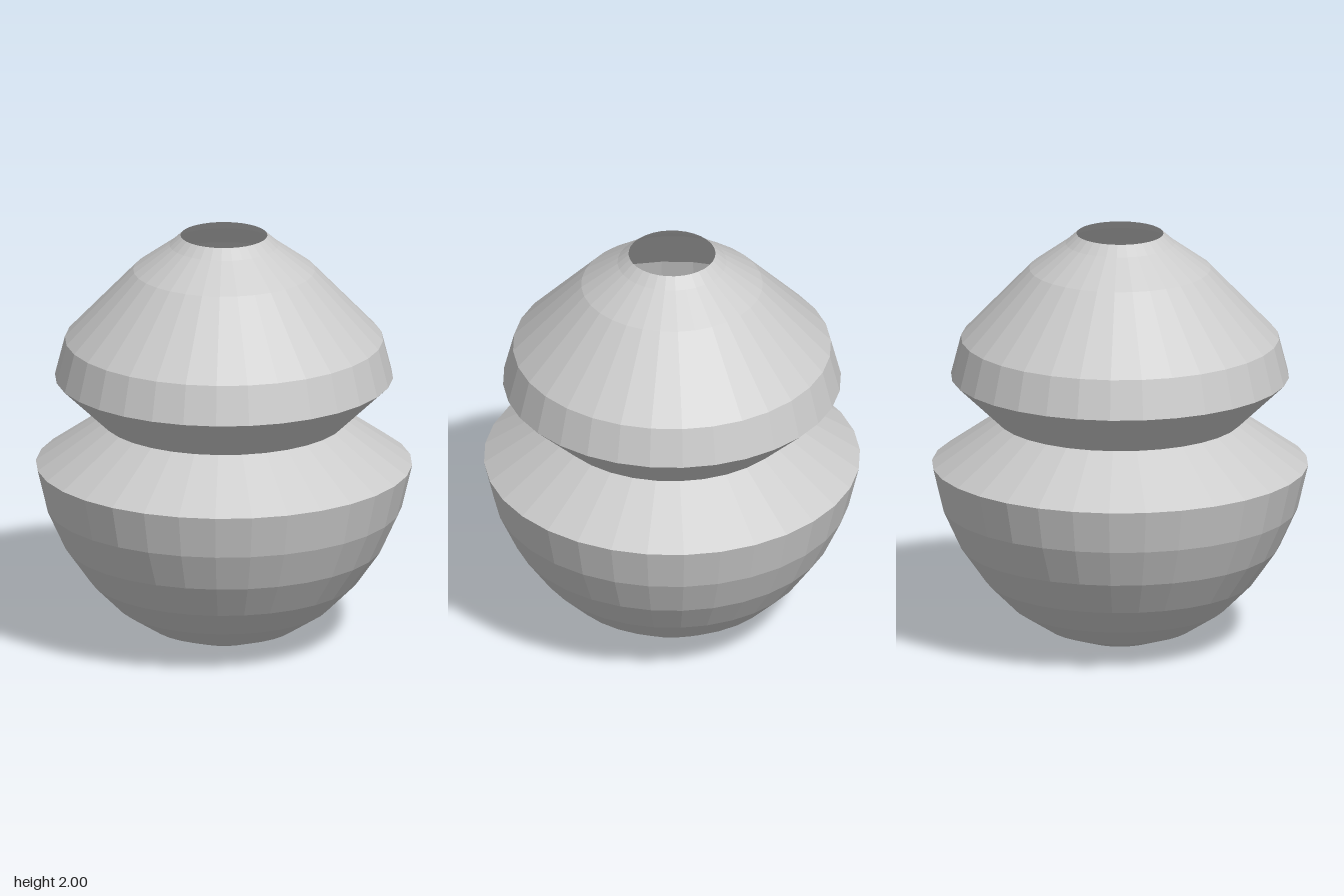
import * as THREE from 'three';

export function createModel() {
  const group = new THREE.Group();
  group.name = 'vessel';

  // Thin open shell, seen inside through the mouth
  const material = new THREE.MeshStandardMaterial({
    color: 0xcccccc, flatShading: true, side: THREE.DoubleSide,
  });

  // Revolves a [radius, height] profile into a faceted part
  function turned(name, profile) {
    const points = profile.map(([r, y]) => new THREE.Vector2(r, y));
    const mesh = new THREE.Mesh(new THREE.LatheGeometry(points, 32), material);
    mesh.name = name;
    group.add(mesh);
  }

  // Rounded bowl with a sloping shoulder up to the waist
  turned('lowerBowl', [
    [0, 0], [0.18, 0.028], [0.345, 0.085], [0.504, 0.187], [0.637, 0.32],
    [0.754, 0.486], [0.838, 0.67], [0.887, 0.877], [0.577, 1.095],
  ]);

  // Flared collar and dome rising from the waist to the open mouth
  turned('upperDome', [
    [0.577, 1.095], [0.797, 1.305], [0.75, 1.49], [0.428, 1.83],
    [0.257, 1.953], [0.205, 2],
  ]);

  return group;
}
